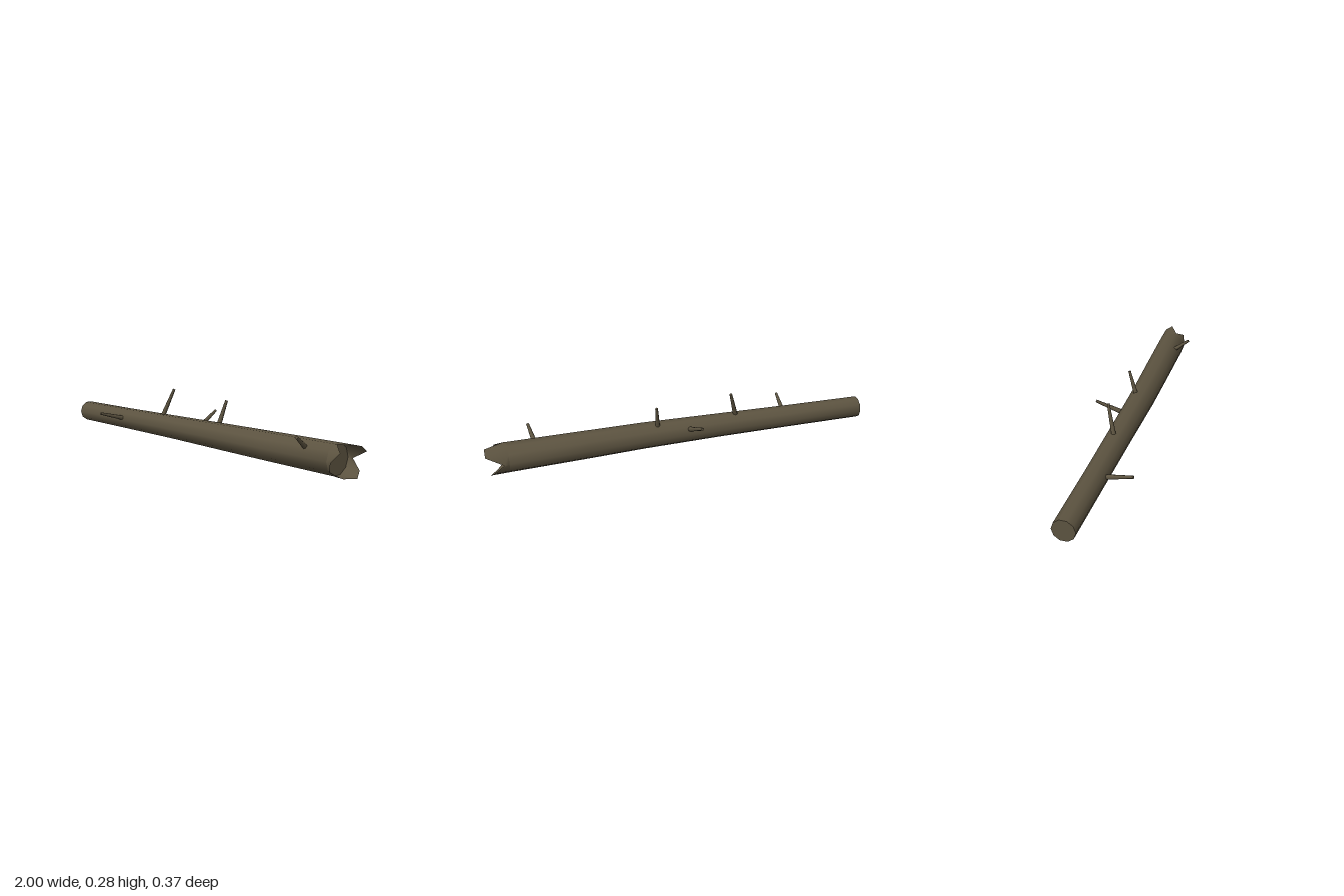
import * as THREE from 'three';

const SIDES = 10;

// Corner k of the ten-sided trunk section; k = 0 points to the back, k rises over the top.
function corner(k, x, cy, cz, r) {
  const a = (k / SIDES) * Math.PI * 2;
  return [x, cy + r * Math.sin(a), cz - r * Math.cos(a)];
}

// Smooth skin joining a row of equal rings along +x.
function skin(rings) {
  const index = [];
  for (let i = 0; i < rings.length - 1; i++) {
    for (let j = 0; j < SIDES; j++) {
      const a = i * SIDES + j, b = i * SIDES + (j + 1) % SIDES;
      index.push(a, b, a + SIDES, b, b + SIDES, a + SIDES);
    }
  }
  const g = new THREE.BufferGeometry();
  g.setAttribute('position', new THREE.Float32BufferAttribute(rings.flat(2), 3));
  g.setIndex(index);
  g.computeVertexNormals();
  return g;
}

// Flat end face, facing +x or -x.
function cap(ring, forward) {
  const index = [];
  for (let j = 1; j < SIDES - 1; j++) index.push(0, ...(forward ? [j, j + 1] : [j + 1, j]));
  const g = new THREE.BufferGeometry();
  g.setAttribute('position', new THREE.Float32BufferAttribute(ring.flat(), 3));
  g.setIndex(index);
  g.computeVertexNormals();
  return g;
}

export function createModel() {
  const log = new THREE.Group();
  log.name = 'fallenLog';
  const bark = new THREE.MeshStandardMaterial({ color: 0x5c5340, side: THREE.DoubleSide });
  bark.name = 'bark';

  const add = (name, geometry) => {
    const mesh = new THREE.Mesh(geometry, bark);
    mesh.name = name;
    log.add(mesh);
    return mesh;
  };

  // Trunk stations: x, centre y, centre z, radius
  const stations = [
    [-1, 0.078, -0.007, 0.056],
    [-0.6, 0.079, -0.006, 0.058],
    [-0.2, 0.081, -0.006, 0.062],
    [0.2, 0.081, -0.007, 0.068],
    [0.5, 0.079, -0.015, 0.072],
    [0.89, 0.077, -0.025, 0.076],
  ];
  const rings = stations.map((s) =>
    Array.from({ length: SIDES }, (_, k) => corner(k, ...s)));
  const last = rings[rings.length - 1];
  add('trunk', skin(rings));
  add('cutEnd', cap(rings[0], false));
  add('brokenEnd', cap(last, true));

  // Splintered rim: how far each corner reaches past the break
  const reach = [0.915, 1.0, 1.0, 0.905, 0.955, 0.915, 0.9, 0.945, 0.983, 0.965];
  const tips = reach.map((x, k) => corner(k, x, 0.0755, -0.025, 0.078));
  add('splinters', skin([last, tips]));

  // Broken twigs: base on the trunk, tip
  const twigs = [
    [[-0.295, 0.13, -0.012], [-0.25, 0.275, -0.054]],
    [[0.131, 0.13, -0.026], [0.146, 0.255, -0.066]],
    [[-0.032, 0.11, -0.06], [-0.06, 0.167, -0.182]],
    [[-0.587, 0.087, 0.04], [-0.605, 0.125, 0.181]],
    [[0.752, 0.115, 0.025], [0.77, 0.175, 0.11]],
  ];
  const up = new THREE.Vector3(0, 1, 0);
  twigs.forEach(([from, to], i) => {
    const a = new THREE.Vector3(...from), b = new THREE.Vector3(...to);
    const dir = b.clone().sub(a);
    const twig = add(`twig${i + 1}`, new THREE.CylinderGeometry(0.007, 0.0125, dir.length(), 8));
    twig.position.copy(a).add(b).multiplyScalar(0.5);
    twig.quaternion.setFromUnitVectors(up, dir.normalize());
  });

  return log;
}
